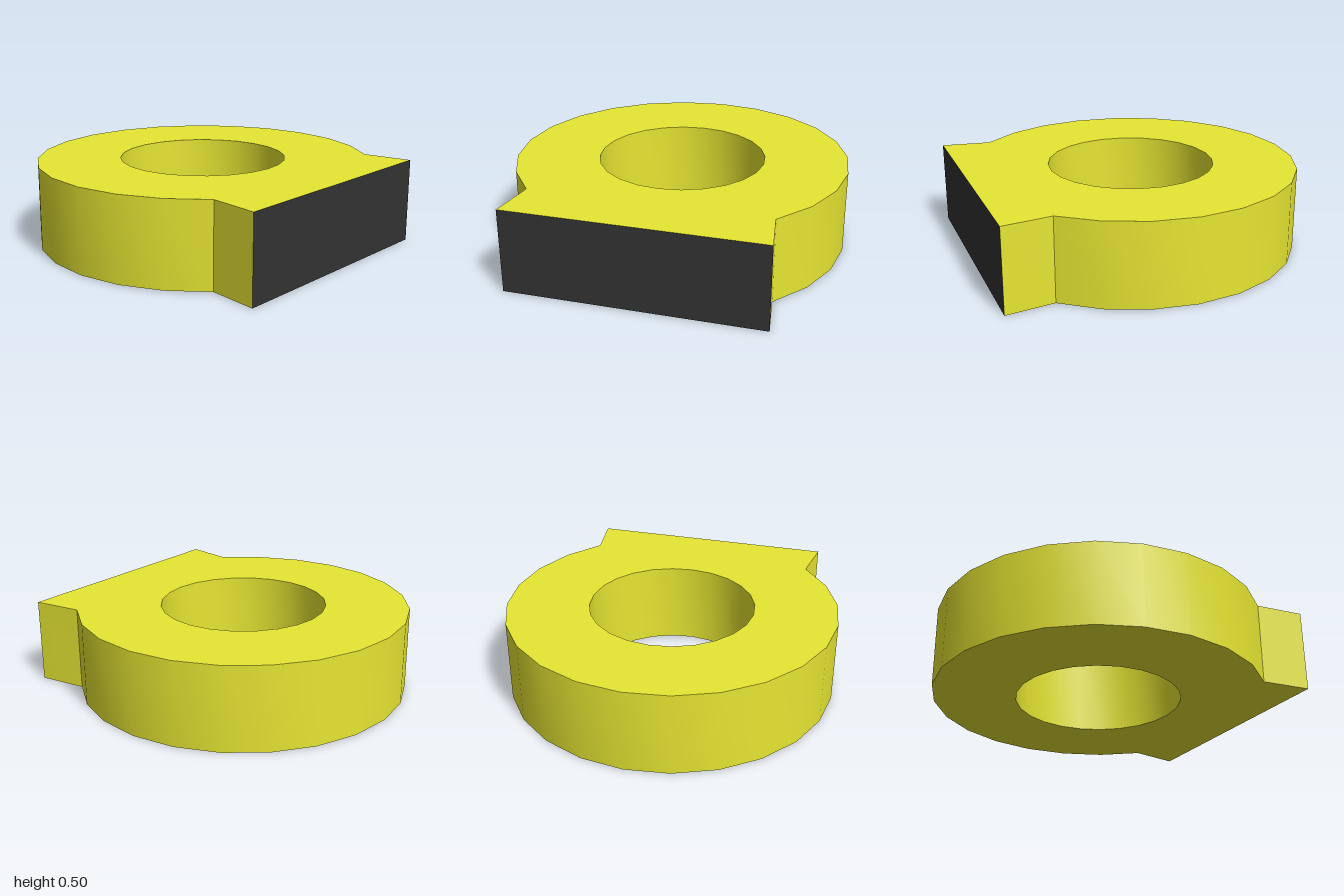
import * as THREE from 'three';
import { toCreasedNormals } from 'three/addons/utils/BufferGeometryUtils.js';

const HEIGHT = 0.5;
const STEP = Math.PI / 12; // 24-sided circles

// Points on a circle, from step a to step b
function arc(radius, a, b) {
  const points = [];
  for (let i = a; i <= b; i++) {
    points.push(new THREE.Vector2(radius * Math.cos(i * STEP), radius * Math.sin(i * STEP)));
  }
  return points;
}

// Keep every triangle except those lying on the flat end at x = 1
function openEnd(geometry) {
  const p = geometry.attributes.position;
  const kept = [];
  for (let i = 0; i < p.count; i += 3) {
    if ([0, 1, 2].every((k) => p.getX(i + k) > 0.999)) continue;
    for (let k = 0; k < 3; k++) kept.push(p.getX(i + k), p.getY(i + k), p.getZ(i + k));
  }
  const result = new THREE.BufferGeometry();
  result.setAttribute('position', new THREE.Float32BufferAttribute(kept, 3));
  return result;
}

export function createModel() {
  const group = new THREE.Group();
  group.name = 'ringConnector';

  // Ring body flaring out to a flat end on the left side
  const outline = new THREE.Shape([
    ...arc(1, 3, 21),
    new THREE.Vector2(1, -0.75),
    new THREE.Vector2(1, 0.75),
  ]);
  outline.holes.push(new THREE.Path(arc(0.5, 0, 23)));
  const solid = new THREE.ExtrudeGeometry(outline, { depth: HEIGHT, bevelEnabled: false });
  solid.rotateX(-Math.PI / 2);
  const body = new THREE.Mesh(
    toCreasedNormals(openEnd(solid), Math.PI / 6),
    new THREE.MeshStandardMaterial({ color: 0xe6e633 })
  );
  body.name = 'ringBody';
  group.add(body);

  // Dark flat end face
  const face = new THREE.PlaneGeometry(1.5, HEIGHT);
  face.rotateY(Math.PI / 2);
  face.translate(1, HEIGHT / 2, 0);
  const endFace = new THREE.Mesh(face, new THREE.MeshStandardMaterial({ color: 0x333333 }));
  endFace.name = 'endFace';
  group.add(endFace);

  return group;
}
